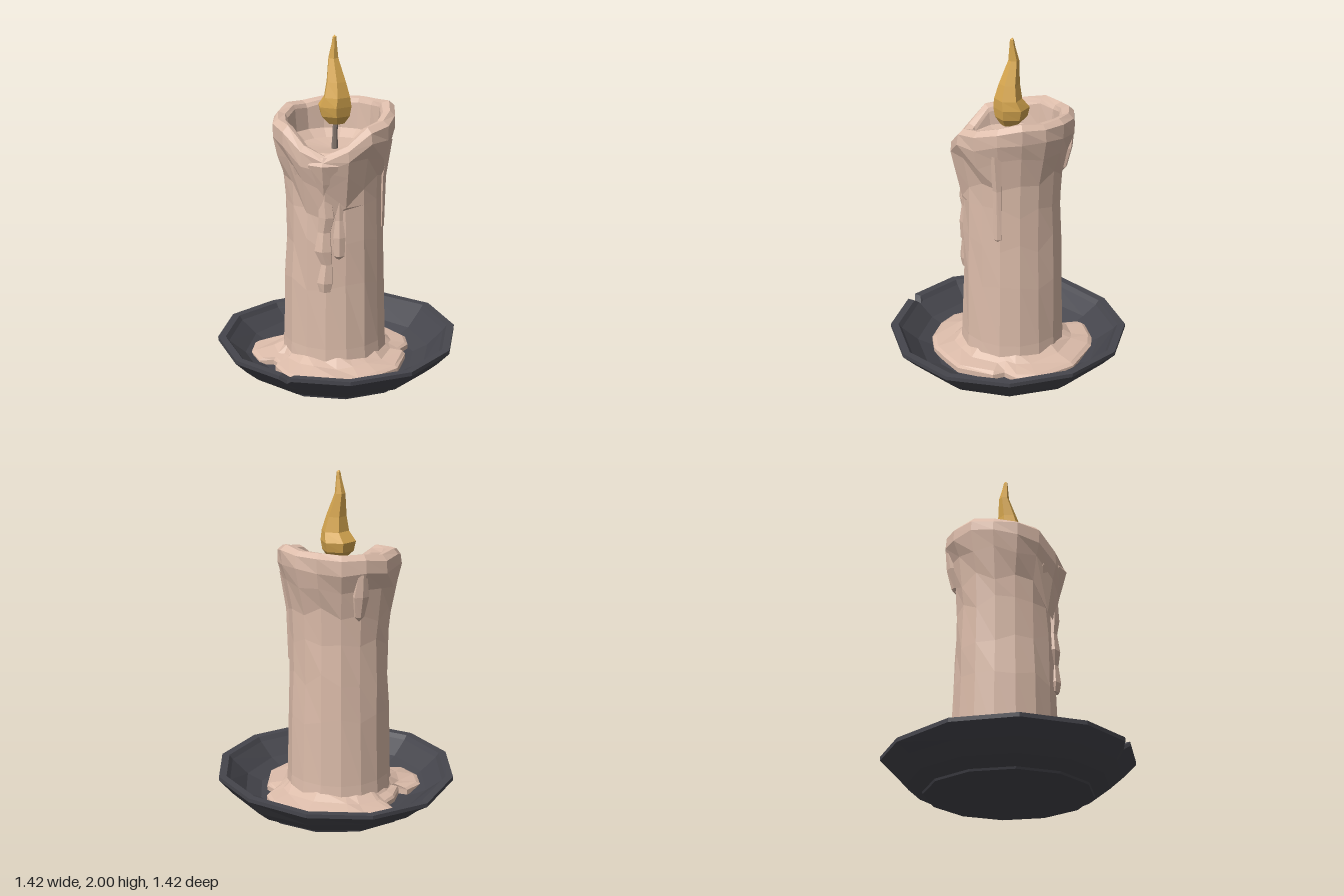
import * as THREE from 'three';

const mat = (name, color, side = THREE.FrontSide) =>
  new THREE.MeshStandardMaterial({ name, color, flatShading: true, side });

// Skin closed rings of [x, y, z] points, ordered bottom to top on the outside
function loft(name, rings, material) {
  const n = rings[0].length, pos = [];
  const tri = (a, b, c) => pos.push(...a, ...b, ...c);
  for (let i = 0; i < rings.length - 1; i++) {
    for (let j = 0; j < n; j++) {
      const k = (j + 1) % n, lo = rings[i], hi = rings[i + 1];
      tri(lo[j], hi[j], hi[k]);
      tri(lo[j], hi[k], lo[k]);
    }
  }
  const g = new THREE.BufferGeometry();
  g.setAttribute('position', new THREE.Float32BufferAttribute(pos, 3));
  g.computeVertexNormals();
  const mesh = new THREE.Mesh(g, material);
  mesh.name = name;
  return mesh;
}

// Ring around a vertical axis; r and y may be functions of the column
function ring(n, r, y, cx = 0, cz = 0, turn = 0) {
  return Array.from({ length: n }, (_, j) => {
    const a = (j / n) * Math.PI * 2 + turn;
    const rr = typeof r === 'function' ? r(j) : r;
    const yy = typeof y === 'function' ? y(j) : y;
    return [cx + rr * Math.cos(a), yy, cz + rr * Math.sin(a)];
  });
}

function seeded(seed) {
  return () => {
    seed = (seed * 16807) % 2147483647;
    return seed / 2147483647 - 0.5;
  };
}

export function createModel() {
  const wax = mat('wax', 0xdcbcaa);
  const iron = mat('dark iron', 0x46464d);
  const gold = mat('flame gold', 0xd8a850);
  const char = mat('wick grey', 0x85766e);
  const model = new THREE.Group();
  model.name = 'candle';
  const rnd = seeded(77);
  const CX = -0.03;

  // Dish: twelve sides, uneven rim, a small chip at 60 degrees
  const degs = [0, 30, 57, 60, 63, 90, 120, 150, 180, 210, 240, 270, 300, 330];
  const lift = [0, 0, 0, 0, 0, 0, 0, -0.005, -0.025, -0.01, 0.005, 0.02, 0.015, 0.005];
  const profile = [[0, 0], [0.47, 0], [0.475, 0.012], [0.56, 0.055], [0.635, 0.12], [0.71, 0.195],
    [0.71, 0.218], [0.665, 0.216], [0.645, 0.19], [0.55, 0.11], [0.46, 0.07], [0, 0.06]];
  const dishRings = profile.map(([r, y], i) => degs.map((d, j) => {
    const a = THREE.MathUtils.degToRad(d);
    const off = THREE.MathUtils.degToRad(((d % 30) + 30) % 30 - 15);
    const rim = i >= 5 && i <= 7;
    const chip = rim && j === 3;
    const rr = (r * Math.cos(Math.PI / 12)) / Math.cos(off) - (chip ? 0.035 : 0);
    return [rr * Math.cos(a), y + (i > 4 && i < 9 ? lift[j] : 0) - (chip ? 0.03 : 0), rr * Math.sin(a)];
  }));
  model.add(loft('dish', dishRings, iron));

  // Candle body: flared, sagging rim and a hollow melt pool; lowest at front left
  const N = 16;
  const rimY = [1.53, 1.44, 1.38, 1.43, 1.52, 1.54, 1.55, 1.58, 1.57, 1.59, 1.59, 1.6, 1.6, 1.61, 1.58, 1.55];
  const jit = (s) => { const t = Array.from({ length: N }, () => rnd() * s); return (j) => t[j]; };
  const wall = (r, y, jr, jy) => {
    const a = jit(jr), b = jit(jy);
    return ring(N, (j) => r + a(j), (j) => y + b(j), CX);
  };
  const rimRing = (r, drop, jr, jy = 0) => {
    const a = jit(jr), b = jit(jy);
    return ring(N, (j) => r + a(j), (j) => rimY[j] - drop + b(j), CX);
  };
  const body = [
    wall(0.315, 0.08, 0, 0),
    wall(0.305, 0.22, 0.006, 0),
    wall(0.294, 0.6, 0.012, 0.06),
    wall(0.288, 0.85, 0.018, 0.1),
    wall(0.284, 1.06, 0.012, 0.08),
    rimRing(0.292, 0.36, 0.012, 0.08),
    rimRing(0.328, 0.2, 0.02, 0.05),
    rimRing(0.354, 0.1, 0.018, 0.03),
    rimRing(0.352, 0.03, 0.014),
    rimRing(0.32, 0, 0.01, 0.012),
    rimRing(0.28, 0.012, 0.01),
    rimRing(0.268, 0.035, 0.006),
    ring(N, 0.255, (j) => Math.min(1.41, rimY[j] - 0.04), CX),
    ring(N, 0.2, 1.365, CX),
    ring(N, 0, 1.345, CX),
  ];
  model.add(loft('candleBody', body, wax));

  // Drips: lumpy runs of wax down the side, as [y, half width, bulge]
  function drip(name, deg, steps) {
    const g = new THREE.Group();
    g.name = name;
    const rings = steps.map(([y, w, out, r = 0.28, side = 0]) =>
      Array.from({ length: 6 }, (_, j) => {
        const a = (j / 6) * Math.PI * 2;
        return [r + Math.cos(a) * out, y, Math.sin(a) * w + side];
      }));
    g.add(loft(name + 'Wax', rings, wax));
    g.position.x = CX;
    g.rotation.y = -THREE.MathUtils.degToRad(deg);
    model.add(g);
  }
  drip('longDrip', 46, [[0.57, 0, 0], [0.575, 0.035, 0.035], [0.63, 0.05, 0.045], [0.74, 0.035, 0.03, 0.28, -0.01],
    [0.82, 0.055, 0.045, 0.28, 0.01], [0.93, 0.04, 0.028, 0.28, 0.005], [1.02, 0.05, 0.04, 0.28, -0.01],
    [1.14, 0.04, 0.035], [1.22, 0.07, 0.05, 0.29], [1.33, 0.1, 0.06, 0.31], [1.375, 0.05, 0.03, 0.31]]);
  drip('sideDrip', 30, [[0.76, 0, 0], [0.79, 0.035, 0.025], [0.9, 0.04, 0.03], [1.0, 0.025, 0.016],
    [1.16, 0.03, 0.02], [1.3, 0.04, 0.03, 0.3]]);
  drip('frontDrip', 72, [[1.17, 0, 0, 0.29], [1.2, 0.04, 0.02, 0.29], [1.3, 0.06, 0.03, 0.305], [1.4, 0.04, 0.02, 0.32]]);
  drip('backDrip', 318, [[0.88, 0, 0], [0.9, 0.025, 0.016], [1.2, 0.03, 0.025], [1.42, 0.04, 0.03, 0.31]]);
  drip('rightDrip', 205, [[1.2, 0, 0, 0.29], [1.23, 0.03, 0.025, 0.29], [1.35, 0.05, 0.03, 0.315], [1.48, 0.03, 0.02, 0.335]]);

  // Hardened puddle of wax in the dish, from its outline seen as [x, z]
  const edge = [[0.43, 0.02], [0.43, 0.15], [0.38, 0.27], [0.25, 0.4], [0.13, 0.45], [-0.02, 0.43], [-0.03, 0.39],
    [-0.1, 0.39], [-0.15, 0.46], [-0.28, 0.43], [-0.38, 0.34], [-0.38, 0.22], [-0.33, 0.2], [-0.39, 0.09],
    [-0.4, 0], [-0.5, -0.04], [-0.51, -0.08], [-0.46, -0.23], [-0.4, -0.31], [-0.18, -0.45], [0.08, -0.46],
    [0.18, -0.4], [0.21, -0.31], [0.28, -0.3], [0.42, -0.13]];
  const puddleRing = (t, y, jy) => edge.map(([x, z]) => {
    const a = Math.atan2(z, x - CX);
    return [THREE.MathUtils.lerp(x, CX + 0.29 * Math.cos(a), t), y + rnd() * jy,
      THREE.MathUtils.lerp(z, 0.29 * Math.sin(a), t)];
  });
  model.add(loft('waxPuddle', [puddleRing(0, 0.05, 0), puddleRing(0, 0.098, 0.006), puddleRing(0.12, 0.112, 0.01),
    puddleRing(0.65, 0.13, 0.02), puddleRing(1, 0.17, 0.03)], wax));

  // Wick
  model.add(loft('wick', [ring(6, 0.02, 1.33, CX + 0.005), ring(6, 0.015, 1.43, -0.02),
    ring(6, 0.014, 1.53, -0.015)], char));

  // Flame: six sides, swaying towards a thin tip; [y, x, half width, half depth]
  const flame = [[1.5, -0.01, 0, 0], [1.5, -0.01, 0.045, 0.05], [1.545, -0.02, 0.08, 0.09], [1.6, -0.022, 0.088, 0.105],
    [1.655, 0, 0.066, 0.086], [1.74, -0.008, 0.05, 0.062], [1.87, -0.036, 0.026, 0.032],
    [1.95, -0.027, 0.014, 0.017], [1.99, -0.024, 0.009, 0.013], [2, -0.027, 0, 0]];
  model.add(loft('flame', flame.map(([y, x, w, d]) => ring(6, 1, y, 0, 0, Math.PI / 6)
    .map(([px, py, pz]) => [x + (px * w) / 0.866, py, pz * d])), gold));

  return model;
}
